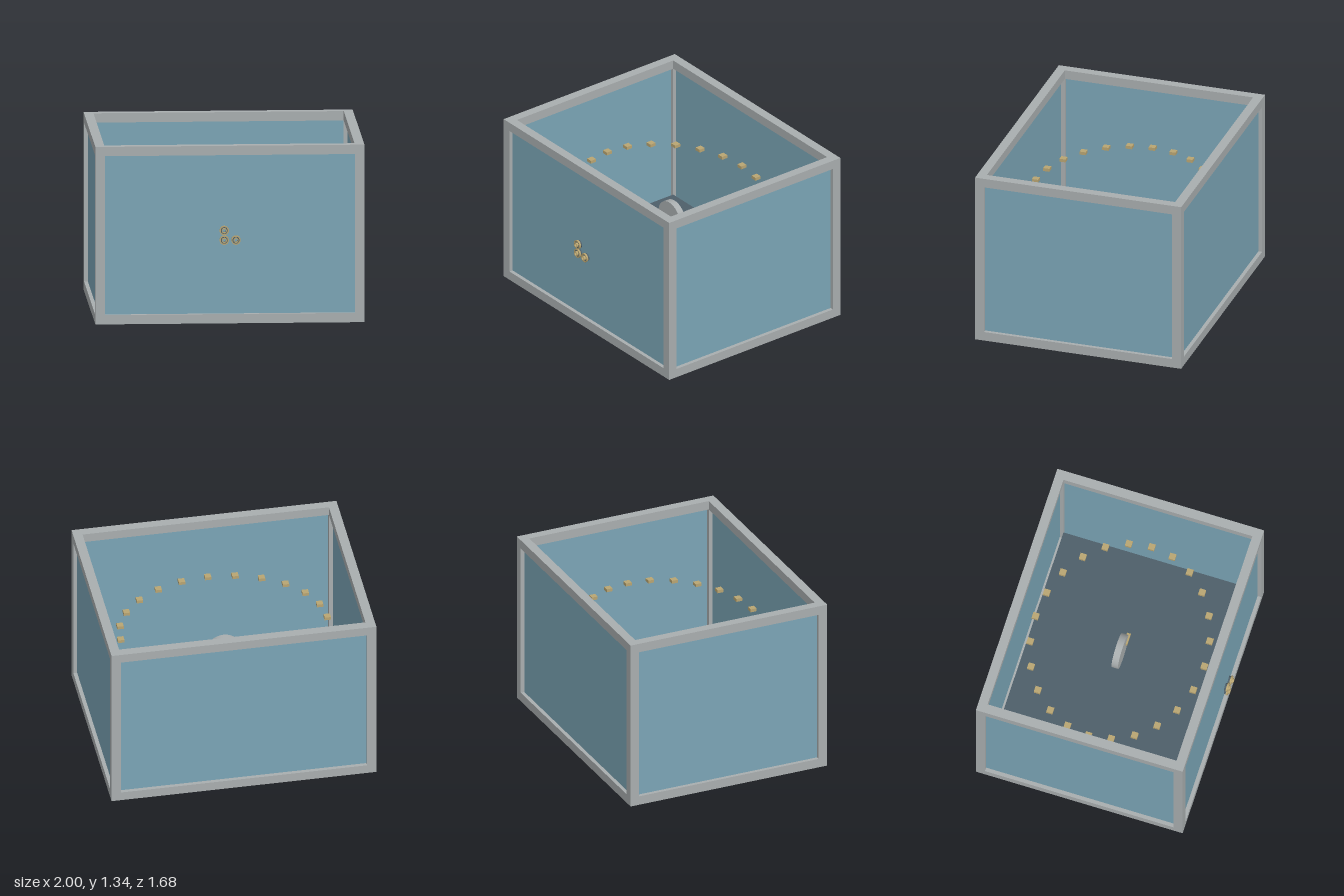
import * as THREE from 'three';

const mat = (name, color, side = THREE.FrontSide) => {
  const m = new THREE.MeshStandardMaterial({ color, side });
  m.name = name;
  return m;
};

export function createModel() {
  const steel = mat('greySteel', 0xa9aeaf);
  const glass = mat('blueGlass', 0x7ba5b6);
  const dark = mat('darkSlate', 0x4e5f6a);
  const brass = mat('brass', 0xb9a572, THREE.DoubleSide);

  const model = new THREE.Group();
  model.name = 'displayTank';

  const add = (parent, name, geometry, material, x, y, z) => {
    const mesh = new THREE.Mesh(geometry, material);
    mesh.name = name;
    mesh.position.set(x, y, z);
    parent.add(mesh);
    return mesh;
  };
  const box = (parent, name, material, w, h, d, x, y, z) =>
    add(parent, name, new THREE.BoxGeometry(w, h, d), material, x, y, z);

  const W = 2, H = 1.335, D = 1.61, B = 0.07; // outer size and beam width
  const midY = H / 2;

  // The tank sits slightly behind the origin because the fittings stick out in front
  const tank = new THREE.Group();
  tank.name = 'tank';
  tank.position.z = -0.035;
  model.add(tank);

  const px = (W - B) / 2, pz = (D - B) / 2;
  for (const s of [-1, 1]) {
    for (const t of [-1, 1]) {
      box(tank, 'cornerPost', steel, B, H, B, s * px, midY, t * pz);
      const y = t < 0 ? B / 2 : H - B / 2;
      box(tank, 'longRail', steel, W - 2 * B, B, B, 0, y, s * pz);
      box(tank, 'sideRail', steel, B, B, D - 2 * B, s * px, y, 0);
    }
    // Thin panes centred in the beams
    box(tank, 'longPane', glass, W - 2 * B, H - 2 * B, 0.012, 0, midY, s * pz);
    box(tank, 'sidePane', glass, 0.012, H - 2 * B, D - 2 * B, s * px, midY, 0);
  }
  // Raised floor
  box(tank, 'floor', dark, W - 2 * B, 0.02, D - 2 * B, 0, 0.185, 0);

  // Oval of small blocks
  const ring = new THREE.Group();
  ring.name = 'blockRing';
  tank.add(ring);
  for (let i = 0; i < 24; i++) {
    const a = (i / 24) * Math.PI * 2;
    box(ring, 'block', brass, 0.048, 0.024, 0.048, 0.78 * Math.sin(a), 0.877, 0.657 * Math.cos(a));
  }

  // Upright wheel in the middle with a short handle
  const wheel = new THREE.CylinderGeometry(0.132, 0.132, 0.05, 32).rotateX(Math.PI / 2);
  add(tank, 'wheel', wheel, steel, 0, midY, 0);
  box(tank, 'wheelHandle', brass, 0.09, 0.024, 0.03, 0.105, midY, 0.022);

  // Hollow ring fittings in front, each a closed profile turned about z
  const turned = (points) => new THREE.LatheGeometry(
    points.map(([r, y]) => new THREE.Vector2(r, y)), 24).rotateX(Math.PI / 2).toNonIndexed();
  const tube = (inner, outer, back, front) => {
    const g = turned([[inner, back], [outer, back], [outer, front], [inner, front], [inner, back]]);
    g.computeVertexNormals();
    return g;
  };
  const body = tube(0.014, 0.029, 0.797, 0.814);
  const flange = tube(0.026, 0.035, 0.812, 0.826);
  const face = tube(0.014, 0.027, 0.814, 0.822);
  const lip = tube(0.013, 0.019, 0.82, 0.838);
  for (const [x, y] of [[-0.045, 0.707], [-0.045, 0.634], [0.042, 0.634]]) {
    const fitting = new THREE.Group();
    fitting.name = 'frontFitting';
    fitting.position.set(x, y, 0);
    add(fitting, 'fittingBody', body, dark, 0, 0, 0);
    add(fitting, 'fittingFlange', flange, brass, 0, 0, 0);
    add(fitting, 'fittingFace', face, dark, 0, 0, 0);
    add(fitting, 'fittingLip', lip, brass, 0, 0, 0);
    model.add(fitting);
  }
  return model;
}
